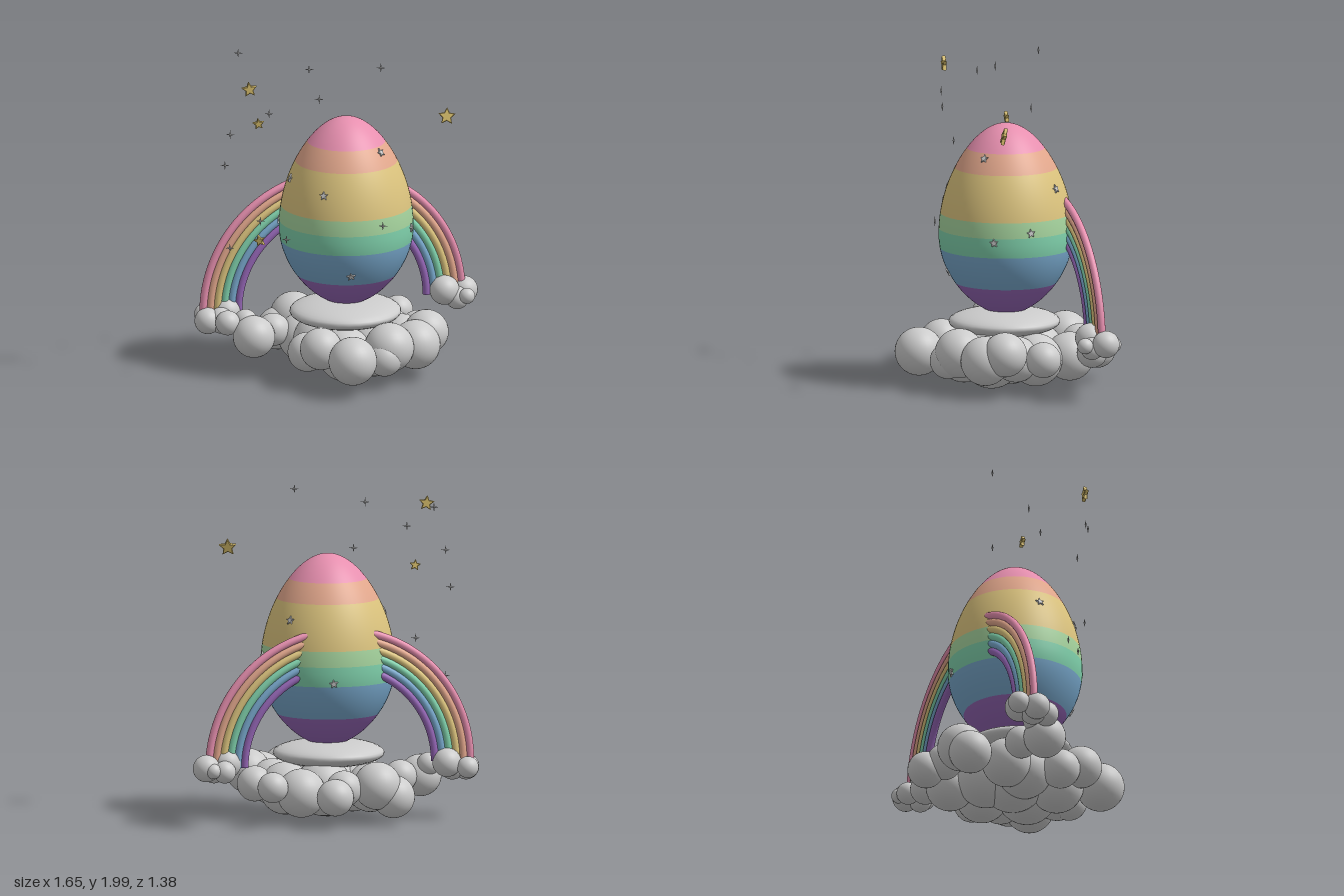
import * as THREE from 'three';

const mat = (name, color) => {
  const m = new THREE.MeshStandardMaterial({ color });
  m.name = name;
  return m;
};

export function createModel() {
  const M = {
    cloud: mat('cloudGrey', 0xcccccc),
    pink: mat('pink', 0xe890b0),
    orange: mat('peach', 0xe2a78c),
    yellow: mat('yellow', 0xdcc47e),
    lime: mat('lightGreen', 0xa6d49e),
    mint: mat('mint', 0x7fd0ab),
    blue: mat('blue', 0x78a8cc),
    purple: mat('purple', 0x9566b6),
    gold: mat('gold', 0xdcc26e),
  };
  const model = new THREE.Group();
  model.name = 'eggOnCloud';
  const group = (name) => {
    const g = new THREE.Group();
    g.name = name;
    model.add(g);
    return g;
  };
  const add = (parent, name, geo, material, x = 0, y = 0, z = 0) => {
    const mesh = new THREE.Mesh(geo, material);
    mesh.name = name;
    mesh.position.set(x, y, z);
    parent.add(mesh);
    return mesh;
  };

  // Egg: one lathe ring per colour band
  const CX = 0.103, CZ = 0.018, MID = 0.93, TOP = 1.612, BOTTOM = 0.442;
  const eggRadius = (y) => {
    const t = (y - MID) / (y > MID ? TOP - MID : MID - BOTTOM);
    return 0.407 * Math.sqrt(Math.max(0, 1 - t * t)) * (1 - 0.14 * t * t);
  };
  const egg = group('egg');
  const bands = [
    ['purple', BOTTOM, 0.64], ['blue', 0.64, 0.85], ['mint', 0.85, 0.97], ['lime', 0.97, 1.065],
    ['yellow', 1.065, 1.34], ['orange', 1.34, 1.46], ['pink', 1.46, TOP],
  ];
  for (const [color, y0, y1] of bands) {
    const pts = [];
    for (let i = 0; i <= 16; i++) {
      // finer steps toward the poles
      let t = i / 16;
      if (y1 === TOP) t = Math.sin(t * Math.PI / 2);
      if (y0 === BOTTOM) t = 1 - Math.cos(t * Math.PI / 2);
      const y = y0 + (y1 - y0) * t;
      pts.push(new THREE.Vector2(eggRadius(y), y));
    }
    add(egg, color + 'Band', new THREE.LatheGeometry(pts, 64), M[color], CX, 0, CZ);
  }

  // Rainbow: nested half rings in an upright plane, passing through the egg's back
  const rainbow = group('rainbow');
  rainbow.position.set(-0.015, 0.365, -0.25);
  rainbow.rotation.y = 0.417;
  ['pink', 'orange', 'yellow', 'mint', 'blue', 'purple'].forEach((color, i) => {
    const r = 0.815 - i * 0.0445;
    add(rainbow, color + 'Arc', new THREE.TorusGeometry(r, 0.0235, 14, 64, Math.PI), M[color]);
    for (const s of [-1, 1]) {
      add(rainbow, color + 'ArcEnd', new THREE.CircleGeometry(0.0235, 14), M[color], s * r).rotation.x = Math.PI / 2;
    }
  });

  // Clouds: puffs as [x, y, z, radius]
  const ball = new THREE.SphereGeometry(1, 32, 20);
  const puffs = (name, list) => {
    const g = group(name);
    for (const [x, y, z, r] of list) add(g, 'puff', ball, M.cloud, x, y, z).scale.setScalar(r);
    return g;
  };
  const base = puffs('cloudRim', [
    [0.21, 0.227, 0.54, 0.147], [0, 0.26, 0.41, 0.128], [0.4, 0.25, 0.29, 0.15],
    [0.54, 0.228, 0.13, 0.15], [0.59, 0.275, 0.01, 0.135], [0.51, 0.23, -0.22, 0.108],
    [0.35, 0.25, -0.51, 0.093], [0.2, 0.2, -0.37, 0.148], [-0.035, 0.2, -0.53, 0.112],
    [-0.07, 0.24, -0.42, 0.11], [-0.26, 0.25, -0.33, 0.145], [-0.35, 0.18, -0.28, 0.13],
    [-0.44, 0.25, 0.165, 0.128], [-0.34, 0.26, 0.03, 0.1], [-0.1, 0.2, 0.28, 0.12],
    [0.38, 0.2, 0.36, 0.11],
  ]);
  puffs('cloudUnderside', [
    [0.1, 0.21, 0, 0.2], [0.28, 0.2, 0.1, 0.185], [-0.04, 0.21, 0.06, 0.175], [0.1, 0.21, -0.16, 0.175],
    [-0.17, 0.2, -0.05, 0.15], [0.13, 0.19, 0.27, 0.165], [0.33, 0.2, -0.17, 0.16], [0.43, 0.22, -0.05, 0.14],
  ]);
  add(base, 'cloudCushion', ball, M.cloud, 0.099, 0.396, 0.027).scale.set(0.338, 0.082, 0.338);
  puffs('rightFootCloud', [
    [-0.63, 0.355, 0, 0.088], [-0.76, 0.33, -0.01, 0.066], [-0.73, 0.32, 0.1, 0.08],
    [-0.6, 0.33, 0.165, 0.075], [-0.5, 0.33, 0.1, 0.07], [-0.65, 0.32, 0.08, 0.08],
  ]);
  puffs('leftFootCloud', [
    [0.742, 0.37, -0.605, 0.082], [0.63, 0.35, -0.6, 0.068], [0.635, 0.39, -0.505, 0.09],
    [0.775, 0.365, -0.48, 0.048], [0.69, 0.36, -0.65, 0.046], [0.71, 0.34, -0.52, 0.07],
  ]);

  // Five-pointed star plates with bevelled rims, centred on their own depth
  const starGeo = (outer, depth, bevel) => {
    const shape = new THREE.Shape();
    for (let i = 0; i < 10; i++) {
      const a = Math.PI / 2 + (i * Math.PI) / 5, r = i % 2 ? outer / 2 : outer;
      shape[i ? 'lineTo' : 'moveTo'](r * Math.cos(a), r * Math.sin(a));
    }
    shape.closePath();
    return new THREE.ExtrudeGeometry(shape, {
      depth, bevelEnabled: true, bevelThickness: bevel, bevelSize: bevel, bevelOffset: -bevel, bevelSegments: 1,
    }).translate(0, 0, -depth / 2);
  };

  // Gold stars: x, y, z, radius, tilt about x, turn about y, roll
  const goldStars = group('goldStars');
  for (const [x, y, z, r, rx, ry, rz] of [
    [-0.437, 1.875, 0.408, 0.048, 0, 0.2, 0.12], [-0.43, 1.55, 0.03, 0.036, 0.1, 0.2, 0.1],
    [0.715, 1.635, 0.013, 0.055, -0.25, 0.12, 0], [-0.422, 0.815, 0.03, 0.038, 0, -0.2, 0.3],
  ]) {
    add(goldStars, 'goldStar', starGeo(r, 0.016, 0.004), M.gold, x, y, z).rotation.set(rx, ry, rz);
  }

  // Small stars lying on the egg, given by direction from its axis and height
  const eggStars = group('eggStars');
  const smallStar = starGeo(0.028, 0.008, 0.002);
  for (const [dx, y, dz] of [
    [-0.09, 1.21, 0.345], [0.075, 0.705, 0.35], [0.235, 1.43, 0.13], [-0.325, 1.25, 0.13], [0.4, 0.945, 0.06],
    [0.38, 1, -0.165], [0.18, 1.24, -0.31], [-0.4, 0.95, 0], [-0.1, 0.87, -0.38],
  ]) {
    const a = Math.atan2(dx, dz), r = eggRadius(y) + 0.003;
    const slope = (eggRadius(y + 0.01) - eggRadius(y - 0.01)) / 0.02;
    const s = add(eggStars, 'eggStar', smallStar, M.cloud, CX + r * Math.sin(a), y, CZ + r * Math.cos(a));
    s.rotation.set(Math.atan(slope), a, 0.1, 'YXZ');
  }

  // Floating four-pointed sparkles: two crossed slim diamonds
  const sparkles = group('sparkles');
  const diamond = new THREE.OctahedronGeometry(1);
  for (const [x, y, z] of [
    [-0.578, 1.935, -0.16], [-0.115, 1.92, 0.088], [0.335, 1.975, 0.185], [-0.315, 1.73, 0.42],
    [-0.552, 1.59, 0.42], [-0.08, 1.67, -0.13], [-0.593, 1.375, 0.353], [0.38, 1.055, 0.44],
    [-0.37, 1.05, 0.41], [-0.57, 0.84, 0.3], [-0.215, 0.93, 0.38],
  ]) {
    add(sparkles, 'sparkleAcross', diamond, M.cloud, x, y, z).scale.set(0.029, 0.006, 0.006);
    add(sparkles, 'sparkleUpright', diamond, M.cloud, x, y, z).scale.set(0.006, 0.029, 0.006);
  }

  return model;
}
